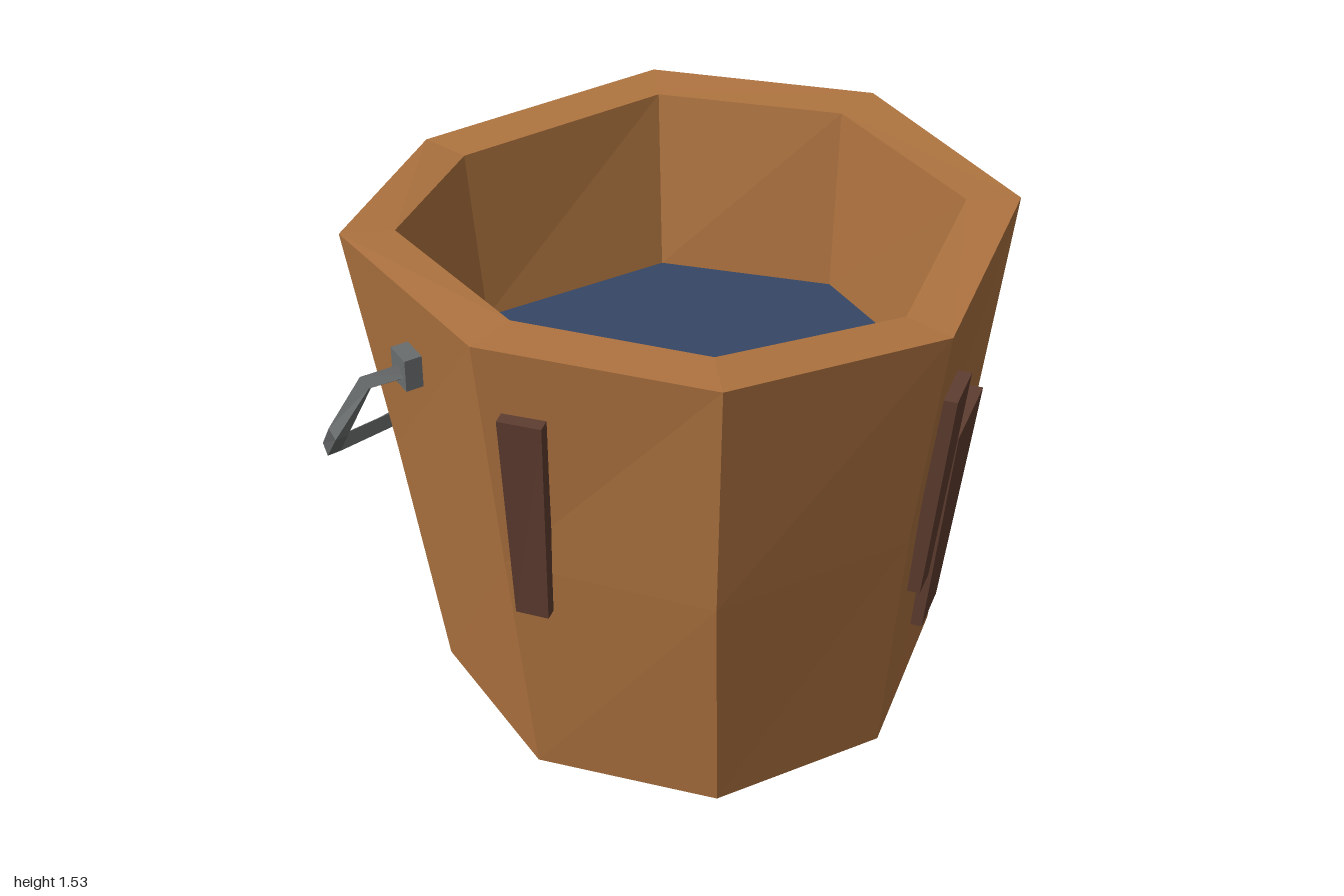
import * as THREE from 'three';

const V = (x, y, z) => new THREE.Vector3(x, y, z);
const mat = (name, color) => {
  const m = new THREE.MeshStandardMaterial({ color });
  m.name = name;
  return m;
};

// Faceted skin through rings that run counter-clockwise about the travel direction
function loft(rings, capStart, capEnd) {
  const pos = [];
  const tri = (...pts) => pts.forEach((p) => pos.push(p.x, p.y, p.z));
  const n = rings[0].length;
  for (let i = 0; i + 1 < rings.length; i++) {
    const a = rings[i], b = rings[i + 1];
    for (let k = 0; k < n; k++) {
      const j = (k + 1) % n;
      tri(a[k], a[j], b[j]);
      tri(a[k], b[j], b[k]);
    }
  }
  const last = rings[rings.length - 1];
  for (let k = 1; k + 1 < n; k++) {
    if (capStart) tri(rings[0][0], rings[0][k + 1], rings[0][k]);
    if (capEnd) tri(last[0], last[k], last[k + 1]);
  }
  const g = new THREE.BufferGeometry();
  g.setAttribute('position', new THREE.Float32BufferAttribute(pos, 3));
  g.computeVertexNormals();
  return g;
}

// Hand-made octagons [x, z], from the back round by the model's left to the front
const RIM_Y = [1.39, 1.395, 1.42, 1.45, 1.465, 1.52, 1.53, 1.467];
const MID_Y = 0.77;
const WATER_Y = 0.855;
const ring = (pts, y) => pts.map(([x, z], i) => V(x, y ?? RIM_Y[i], z));
const bottom = ring([[-0.06, -0.68], [0.47, -0.49], [0.66, -0.015], [0.47, 0.51],
  [-0.06, 0.71], [-0.54, 0.51], [-0.73, 0.02], [-0.54, -0.49]], 0);
const middle = ring([[-0.09, -0.775], [0.52, -0.565], [0.745, -0.03], [0.52, 0.59],
  [-0.09, 0.80], [-0.635, 0.58], [-0.83, 0.02], [-0.62, -0.57]], MID_Y);
const rim = ring([[-0.10, -0.90], [0.61, -0.65], [0.865, -0.04], [0.61, 0.64],
  [-0.08, 0.895], [-0.69, 0.64], [-0.94, 0.04], [-0.70, -0.65]]);
const innerRim = ring([[-0.10, -0.755], [0.505, -0.545], [0.713, -0.04], [0.51, 0.53],
  [-0.075, 0.747], [-0.585, 0.53], [-0.79, 0.04], [-0.593, -0.547]]);
const waterline = ring([[-0.08, -0.715], [0.46, -0.50], [0.68, -0.04], [0.485, 0.515],
  [-0.07, 0.72], [-0.56, 0.515], [-0.76, 0.04], [-0.57, -0.52]], WATER_Y);

// Corner i of the outer wall at height y
function corner(i, y) {
  const k = i % 8;
  const p = y < MID_Y
    ? bottom[k].clone().lerp(middle[k], y / MID_Y)
    : middle[k].clone().lerp(rim[k], (y - MID_Y) / (RIM_Y[k] - MID_Y));
  return p.setY(y);
}

// Tapered patch plank on wall i; l and r are fractions across the wall, left to right
function plankGeometry(i, low, high) {
  const section = ([y, l, r]) => {
    const a = corner(i + 1, y), b = corner(i, y);
    const out = V(a.z - b.z, 0, b.x - a.x).normalize();
    const at = (t, d) => a.clone().lerp(b, t).addScaledVector(out, d);
    return [at(l, 0.037), at(r, 0.037), at(r, -0.02), at(l, -0.02)];
  };
  return loft([section(low), section(high)], true, true);
}

// Square bar swept along the path, flat to the plane of the handle
function barGeometry(path, normal, half) {
  const rings = path.map((p, i) => {
    const before = path[Math.max(i - 1, 0)], after = path[Math.min(i + 1, path.length - 1)];
    const dir = p.clone().sub(before).normalize().add(after.clone().sub(p).normalize()).normalize();
    const side = dir.clone().cross(normal).normalize();
    const up = side.clone().cross(dir);
    return [[1, -1], [-1, -1], [-1, 1], [1, 1]].map(([s, u]) =>
      p.clone().addScaledVector(side, s * half).addScaledVector(up, u * half));
  });
  return loft(rings, true, true);
}

export function createModel() {
  const model = new THREE.Group();
  model.name = 'bucket';
  const wood = mat('wood', 0xb07440);
  const darkWood = mat('dark wood', 0x5f3d30);
  const metal = mat('metal', 0x6a6d6e);
  const water = mat('water', 0x354665);
  const add = (name, geometry, material) => {
    const mesh = new THREE.Mesh(geometry, material);
    mesh.name = name;
    model.add(mesh);
    return mesh;
  };

  // Outer wall, rim and inner wall in one skin, closed underneath
  const up = (r) => [...r].reverse();
  add('tub', loft([bottom, middle, rim, innerRim, waterline].map(up), true, false), wood);

  // Water surface
  add('waterSurface', loft([up(waterline)], false, true), water);

  // Patch planks: wall, [low y, left, right], [high y, left, right]
  [
    ['frontTallPlank', 3, [0.515, 0.145, 0.287], [1.205, 0.113, 0.32]],
    ['frontWidePlank', 3, [0.27, 0.375, 0.64], [0.965, 0.365, 0.74]],
    ['rightPlank', 5, [0.63, 0.05, 0.21], [1.32, 0.09, 0.28]],
    ['backPlank', 7, [0.39, 0.49, 0.655], [1.10, 0.425, 0.66]],
  ].forEach(([name, wall, low, high]) => add(name, plankGeometry(wall, low, high), darkWood));

  // Handle hanging down round the back
  const path = [
    [0.71, 1.25, 0.335], [0.83, 1.275, 0.37], [0.975, 1.13, 0.21], [0.91, 0.92, -0.17],
    [0.66, 0.68, -0.54], [0.06, 0.615, -0.78], [-0.45, 0.655, -0.78], [-0.82, 0.85, -0.62],
    [-0.975, 1.08, -0.42], [-0.925, 1.24, -0.355], [-0.80, 1.24, -0.305],
  ].map((p) => V(...p));
  add('handle', barGeometry(path, V(0.17, 0.78, -0.6).normalize(), 0.019), metal);

  // Brackets holding the handle ends
  [['leftBracket', 0.72, 1.255, 0.34, -0.35], ['rightBracket', -0.815, 1.25, -0.31, -0.35]]
    .forEach(([name, x, y, z, turn]) => {
      const bracket = add(name, new THREE.BoxGeometry(0.05, 0.095, 0.08), metal);
      bracket.position.set(x, y, z);
      bracket.rotation.y = turn;
    });
  return model;
}
